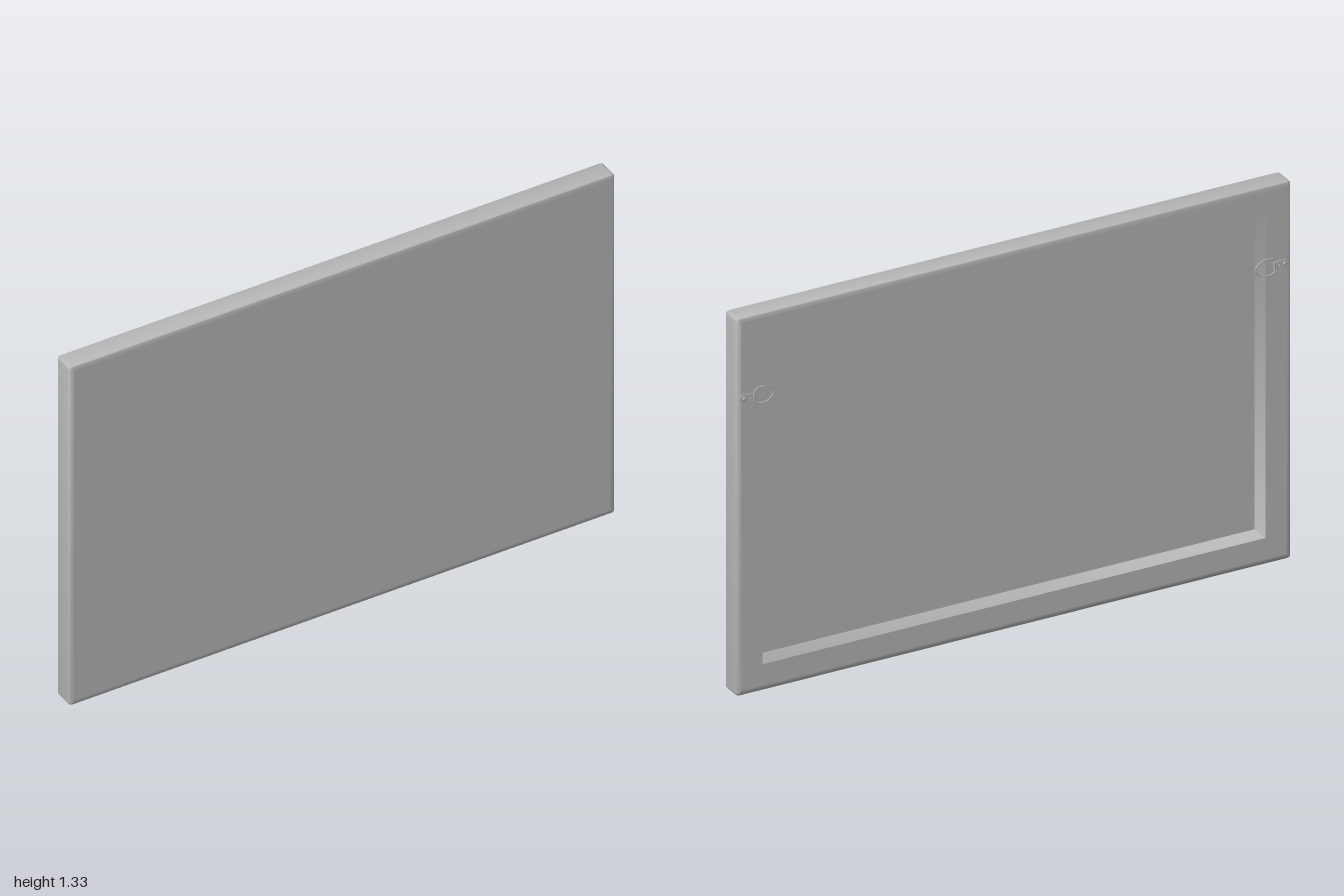
import * as THREE from 'three';
import { toCreasedNormals } from 'three/addons/utils/BufferGeometryUtils.js';

const W = 2, H = 1.333;
const FRONT = 0.042, BACK = -0.036;
const ROUND = 0.01, BAR = 0.094, PANEL_BACK = 0.034;

// Rounded rectangle, counterclockwise seen from the front
function ring(inset, z) {
  const r = Math.max(0.012 - inset, 0.0005), steps = 4, points = [];
  for (let c = 0; c < 4; c++) {
    const sx = c === 0 || c === 3 ? 1 : -1, sy = c < 2 ? 1 : -1;
    for (let i = 0; i <= steps; i++) {
      const a = (c + i / steps) * Math.PI / 2;
      points.push([
        sx * (W / 2 - inset - r) + r * Math.cos(a),
        H / 2 + sy * (H / 2 - inset - r) + r * Math.sin(a), z,
      ]);
    }
  }
  return points;
}

// Skin a mitred profile of [inset, z] pairs, running from the front to the back
function mitred(profile, capFront, capBack) {
  const rings = profile.map(([inset, z]) => ring(inset, z));
  const n = rings[0].length, pos = rings.flat(2), index = [];
  for (let j = 0; j < rings.length - 1; j++) {
    for (let i = 0; i < n; i++) {
      const k = (i + 1) % n;
      const a = j * n + i, b = a + n, c = (j + 1) * n + k, d = j * n + k;
      index.push(a, b, c, a, c, d);
    }
  }
  const fan = (j, flip) => {
    const centre = pos.length / 3;
    pos.push(0, H / 2, profile[j][1]);
    for (let i = 0; i < n; i++) {
      const a = j * n + i, b = j * n + (i + 1) % n;
      index.push(centre, flip ? b : a, flip ? a : b);
    }
  };
  if (capFront) fan(0, false);
  if (capBack) fan(profile.length - 1, true);
  const g = new THREE.BufferGeometry();
  g.setAttribute('position', new THREE.Float32BufferAttribute(pos, 3));
  g.setIndex(index);
  return toCreasedNormals(g, 0.6);
}

export function createModel() {
  const model = new THREE.Group();
  model.name = 'stretchedCanvas';
  const grey = new THREE.MeshStandardMaterial({ color: 0xb8b8b8 });
  grey.name = 'plain grey';

  const add = (parent, name, geometry) => {
    const mesh = new THREE.Mesh(geometry, grey);
    mesh.name = name;
    parent.add(mesh);
    return mesh;
  };

  // Canvas: flat front, rounded edges, sides and a narrow lip on the back
  const wrap = [[0.02, FRONT]];
  for (let i = 0; i <= 4; i++) {
    const a = i / 4 * Math.PI / 2;
    wrap.push([ROUND * (1 - Math.sin(a)), FRONT - ROUND * (1 - Math.cos(a))]);
  }
  for (let i = 0; i <= 4; i++) {
    const a = i / 4 * Math.PI / 2;
    wrap.push([ROUND * (1 - Math.cos(a)), BACK + ROUND * (1 - Math.sin(a))]);
  }
  wrap.push([0.02, BACK]);
  add(model, 'canvas', mitred(wrap, true, false));

  // Stretcher bars with the inner walls of the recess
  add(model, 'stretcherBars', mitred([[0.02, BACK], [BAR, BACK], [BAR, PANEL_BACK]], false, false));

  // Rear of the canvas, seen inside the recess
  add(model, 'canvasRear', mitred([[BAR, PANEL_BACK], [BAR + 0.02, PANEL_BACK]], false, true));

  // Hanging hardware: tab with a hole, screw, hinge loop and D-ring
  const tabShape = new THREE.Shape();
  tabShape.moveTo(0.036, -0.012);
  tabShape.lineTo(0.07, -0.015);
  tabShape.absarc(0.073, 0, 0.015, -Math.PI / 2, Math.PI / 2, false);
  tabShape.lineTo(0.036, 0.012);
  tabShape.closePath();
  const hole = new THREE.Path();
  hole.absarc(0.052, 0, 0.004, 0, Math.PI * 2, true);
  tabShape.holes.push(hole);
  const tab = new THREE.ExtrudeGeometry(tabShape, { depth: 0.003, bevelEnabled: false, curveSegments: 10 });
  const ringPath = new THREE.CatmullRomCurve3([
    [0.036, -0.02], [0.036, 0], [0.036, 0.02], [0.02, 0.028],
    [-0.014, 0.024], [-0.034, 0], [-0.014, -0.024], [0.02, -0.028],
  ].map(([x, y]) => new THREE.Vector3(x, y, 0)), true);
  const dRing = new THREE.TubeGeometry(ringPath, 40, 0.0022, 8, true);

  for (const side of [1, -1]) {
    const hanger = new THREE.Group();
    hanger.name = side > 0 ? 'leftHanger' : 'rightHanger';
    hanger.position.set(side * 0.902, 1.048, BACK);
    hanger.rotation.z = side > 0 ? 0 : Math.PI;
    add(hanger, 'tab', tab).position.z = -0.003;
    add(hanger, 'ring', dRing).position.z = -0.003;
    add(hanger, 'hingeLoop', new THREE.CylinderGeometry(0.0035, 0.0035, 0.024, 10)).position.set(0.036, 0, -0.003);
    const screw = add(hanger, 'screw', new THREE.SphereGeometry(0.007, 12, 5, 0, Math.PI * 2, 0, Math.PI / 2));
    screw.rotation.x = -Math.PI / 2;
    screw.scale.y = 0.5;
    screw.position.set(0.073, 0, -0.003);
    model.add(hanger);
  }
  return model;
}
